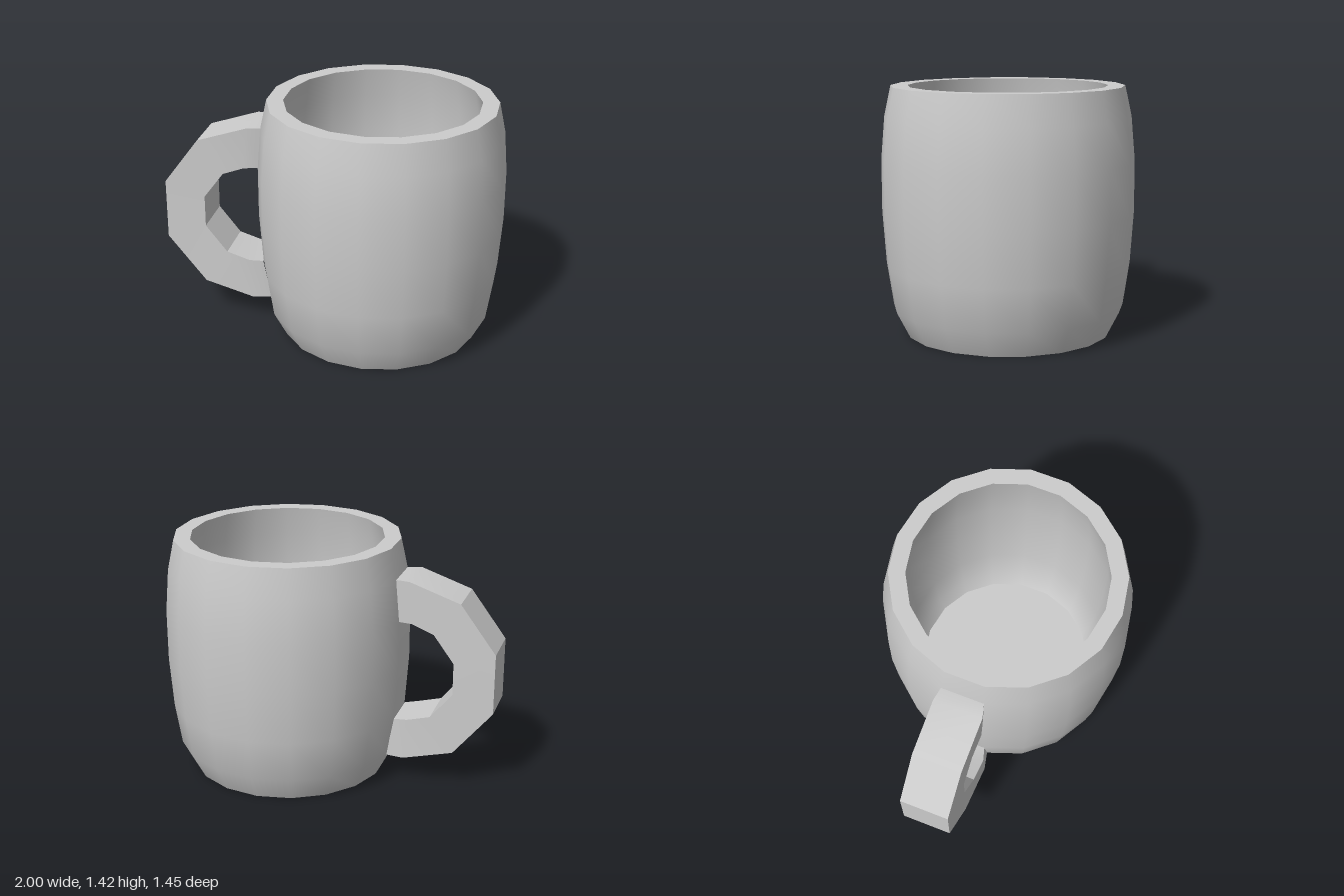
import * as THREE from 'three';
import { toCreasedNormals } from 'three/addons/utils/BufferGeometryUtils.js';

const CREASE = 0.6;
const material = new THREE.MeshStandardMaterial({ color: 0xcccccc });

// Hollow 18-sided barrel: base, outer wall, rim, inner wall, floor
function createCup() {
  const profile = [
    [0, 0], [0.59, 0], [0.667, 0.15], [0.705, 0.4], [0.726, 0.7],
    [0.726, 1], [0.705, 1.25], [0.667, 1.425],
    [0.57, 1.425], [0.605, 1.25], [0.626, 1], [0.626, 0.7],
    [0.605, 0.4], [0.57, 0.18], [0.53, 0.1], [0, 0.1],
  ].map(([r, y]) => new THREE.Vector2(r, y));
  const cup = new THREE.Mesh(toCreasedNormals(new THREE.LatheGeometry(profile, 18), CREASE), material);
  cup.name = 'cup';
  cup.position.x = 0.285;
  return cup;
}

// Rectangular cross-sections swept from the upper joint round to the lower joint
function createHandle() {
  // outer x, outer y, inner x, inner y, back z, front z
  const sections = [
    [-0.405, 1.25, -0.425, 1.0, -0.126, 0.126],
    [-0.49, 1.25, -0.51, 1.0, -0.14, 0.15],
    [-0.79, 1.15, -0.64, 0.95, -0.146, 0.144],
    [-1, 0.87, -0.76, 0.79, -0.15, 0.14],
    [-1, 0.51, -0.76, 0.6, -0.15, 0.14],
    [-0.77, 0.23, -0.63, 0.44, -0.146, 0.144],
    [-0.47, 0.15, -0.49, 0.4, -0.14, 0.15],
    [-0.365, 0.15, -0.41, 0.39, -0.126, 0.126],
  ];
  const positions = [];
  const indices = [];
  sections.forEach(([ox, oy, ix, iy, back, front], s) => {
    positions.push(ox, oy, front, ox, oy, back, ix, iy, back, ix, iy, front);
    if (s === sections.length - 1) return;
    for (let k = 0; k < 4; k++) {
      const a = s * 4 + k;
      const b = s * 4 + (k + 1) % 4;
      indices.push(a, b, b + 4, a, b + 4, a + 4);
    }
  });
  const geometry = new THREE.BufferGeometry();
  geometry.setAttribute('position', new THREE.Float32BufferAttribute(positions, 3));
  geometry.setIndex(indices);
  const handle = new THREE.Mesh(toCreasedNormals(geometry, CREASE), material);
  handle.name = 'handle';
  return handle;
}

export function createModel() {
  const mug = new THREE.Group();
  mug.name = 'mug';
  mug.add(createCup(), createHandle());
  return mug;
}
